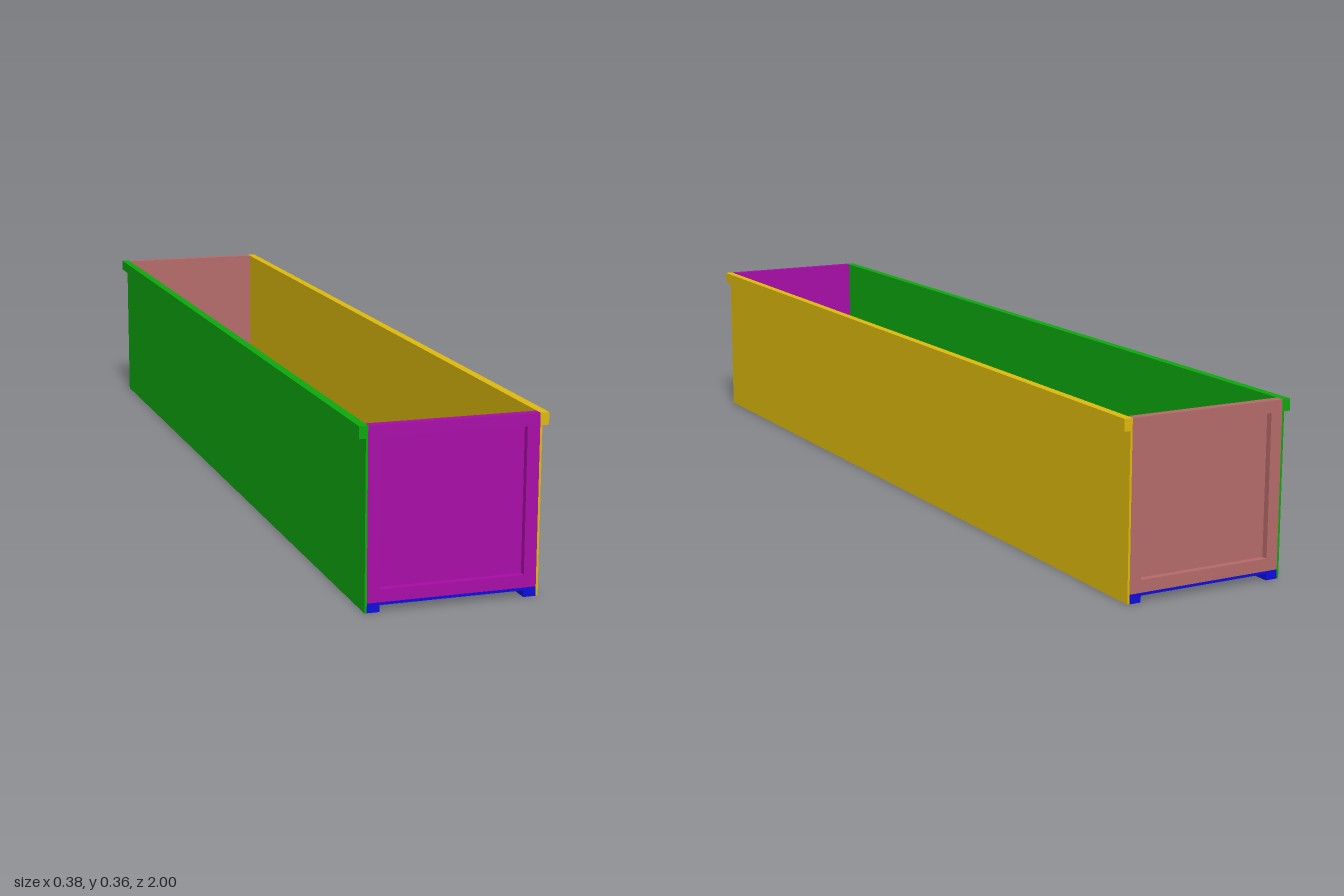
import * as THREE from 'three';

const HALF = 1;            // half length
const INNER = 0.1715;      // inner face of the side walls
const OUTER = 0.176;       // outer face of the side walls
const LIP = 0.1895;        // outer edge of the top lip
const RIM = 0.146;         // inner edge of rails and end frames
const TOP = 0.3615, LIP_Y = 0.337, FLOOR = 0.019, FLOOR_UNDER = 0.0135;

function part(name, geometry, color) {
  const mesh = new THREE.Mesh(geometry, new THREE.MeshStandardMaterial({ color }));
  mesh.name = name;
  return mesh;
}

// Runs an x-y profile along the whole length
function profileAlongZ(points) {
  const shape = new THREE.Shape(points.map(([x, y]) => new THREE.Vector2(x, y)));
  const geometry = new THREE.ExtrudeGeometry(shape, { depth: 2 * HALF, bevelEnabled: false });
  return geometry.translate(0, 0, -HALF);
}

// Thin wall with an outward lip along its top edge
function sideWall(side) {
  return profileAlongZ([
    [INNER, 0], [OUTER, 0], [OUTER, LIP_Y], [LIP, LIP_Y], [LIP, TOP], [INNER, TOP],
  ].map(([x, y]) => [x * side, y]));
}

// Solid end board, its outer face sunk inside a raised frame
function endBoard() {
  const rect = (w, y0, y1, z) => [[-w, y0, z], [w, y0, z], [w, y1, z], [-w, y1, z]];
  const rings = [
    rect(INNER, FLOOR, TOP, HALF - 0.018),
    rect(INNER, FLOOR, TOP, HALF),
    rect(RIM, 0.0445, LIP_Y, HALF),
    rect(RIM, 0.0445, LIP_Y, HALF - 0.0135),
  ];
  const positions = [];
  const quad = (a, b, c, d) => positions.push(...a, ...b, ...c, ...a, ...c, ...d);
  for (let r = 0; r < rings.length - 1; r++) {
    for (let i = 0; i < 4; i++) {
      const j = (i + 1) % 4;
      quad(rings[r][i], rings[r][j], rings[r + 1][j], rings[r + 1][i]);
    }
  }
  const [a, b, c, d] = rings[0];
  quad(d, c, b, a);
  quad(...rings[3]);
  const geometry = new THREE.BufferGeometry();
  geometry.setAttribute('position', new THREE.Float32BufferAttribute(positions, 3));
  geometry.computeVertexNormals();
  return geometry;
}

export function createModel() {
  const model = new THREE.Group();
  model.name = 'openTrough';

  // Floor with a rail under each long edge
  model.add(part('floor', profileAlongZ([
    [-INNER, 0], [-RIM, 0], [-RIM, FLOOR_UNDER], [RIM, FLOOR_UNDER],
    [RIM, 0], [INNER, 0], [INNER, FLOOR], [-INNER, FLOOR],
  ]), 0x0d0ddd));

  // Long sides
  model.add(part('leftWall', sideWall(1), 0xddb90d));
  model.add(part('rightWall', sideWall(-1), 0x0ca80c));

  // Ends
  model.add(part('frontEnd', endBoard(), 0xa80ca8));
  model.add(part('backEnd', endBoard().rotateY(Math.PI), 0xb56a6a));

  return model;
}
